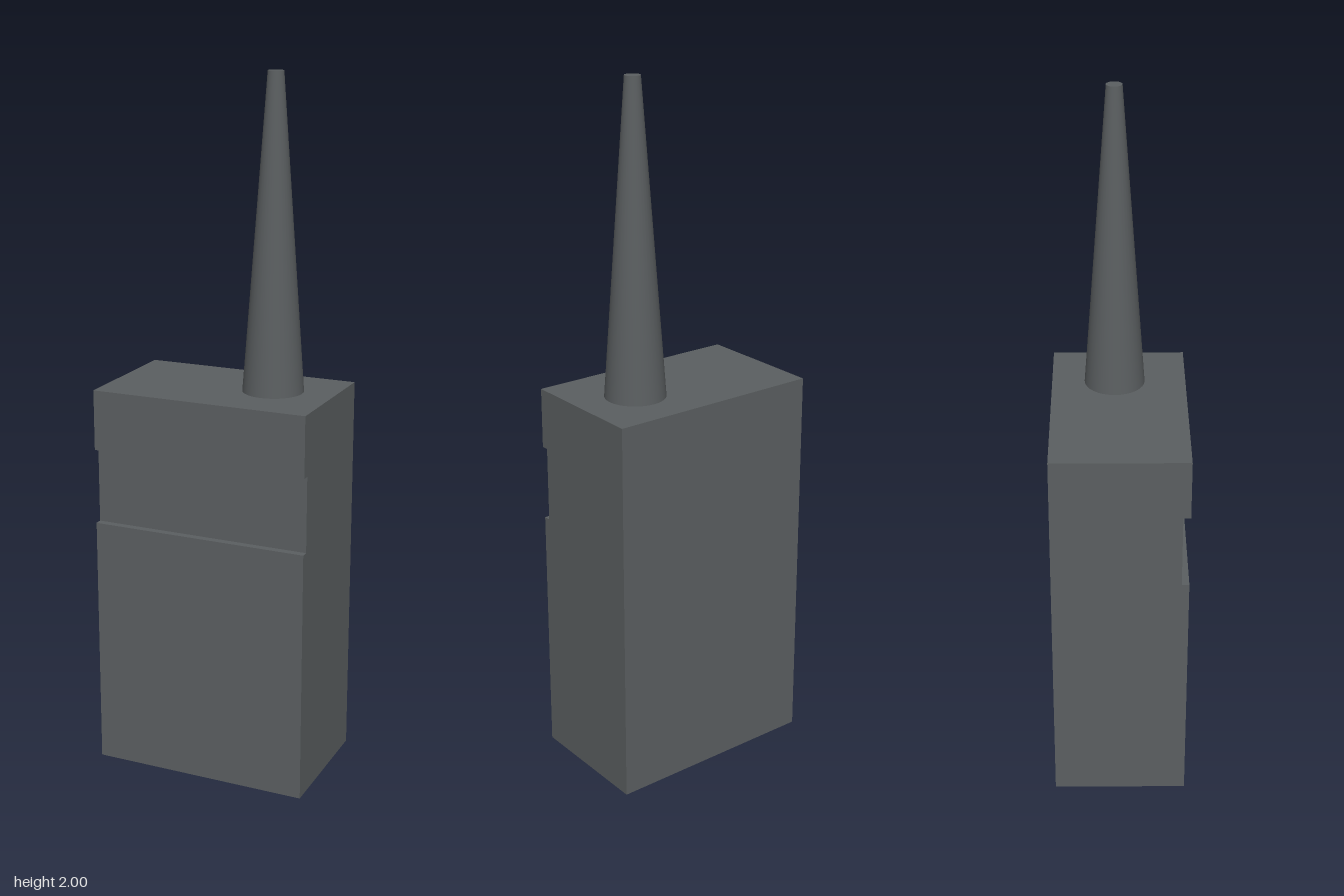
import * as THREE from 'three';

export function createModel() {
  const model = new THREE.Group();
  const darkGrey = new THREE.MeshStandardMaterial({ color: 0x5b5f61 });
  darkGrey.name = 'darkGrey';

  // Case: side profile (z, y) with a shallow groove across the front
  const width = 0.634, height = 1.127, halfDepth = 0.191, grooveZ = 0.17;
  const profile = new THREE.Shape([
    [-halfDepth, 0], [halfDepth, 0],
    [halfDepth, 0.735], [grooveZ, 0.735],
    [grooveZ, 0.953], [halfDepth, 0.953],
    [halfDepth, height], [-halfDepth, height],
  ].map(([z, y]) => new THREE.Vector2(z, y)));
  const caseGeometry = new THREE.ExtrudeGeometry(profile, { depth: width, bevelEnabled: false });
  caseGeometry.translate(0, 0, -width / 2).rotateY(-Math.PI / 2);
  const body = new THREE.Mesh(caseGeometry, darkGrey);
  body.name = 'case';
  model.add(body);

  // Antenna: tapered rod standing on the top, towards the left
  const antennaHeight = 2 - height;
  const antenna = new THREE.Mesh(
    new THREE.CylinderGeometry(0.022, 0.086, antennaHeight, 32), darkGrey);
  antenna.name = 'antenna';
  antenna.position.set(0.141, height + antennaHeight / 2, -0.012);
  model.add(antenna);

  return model;
}
